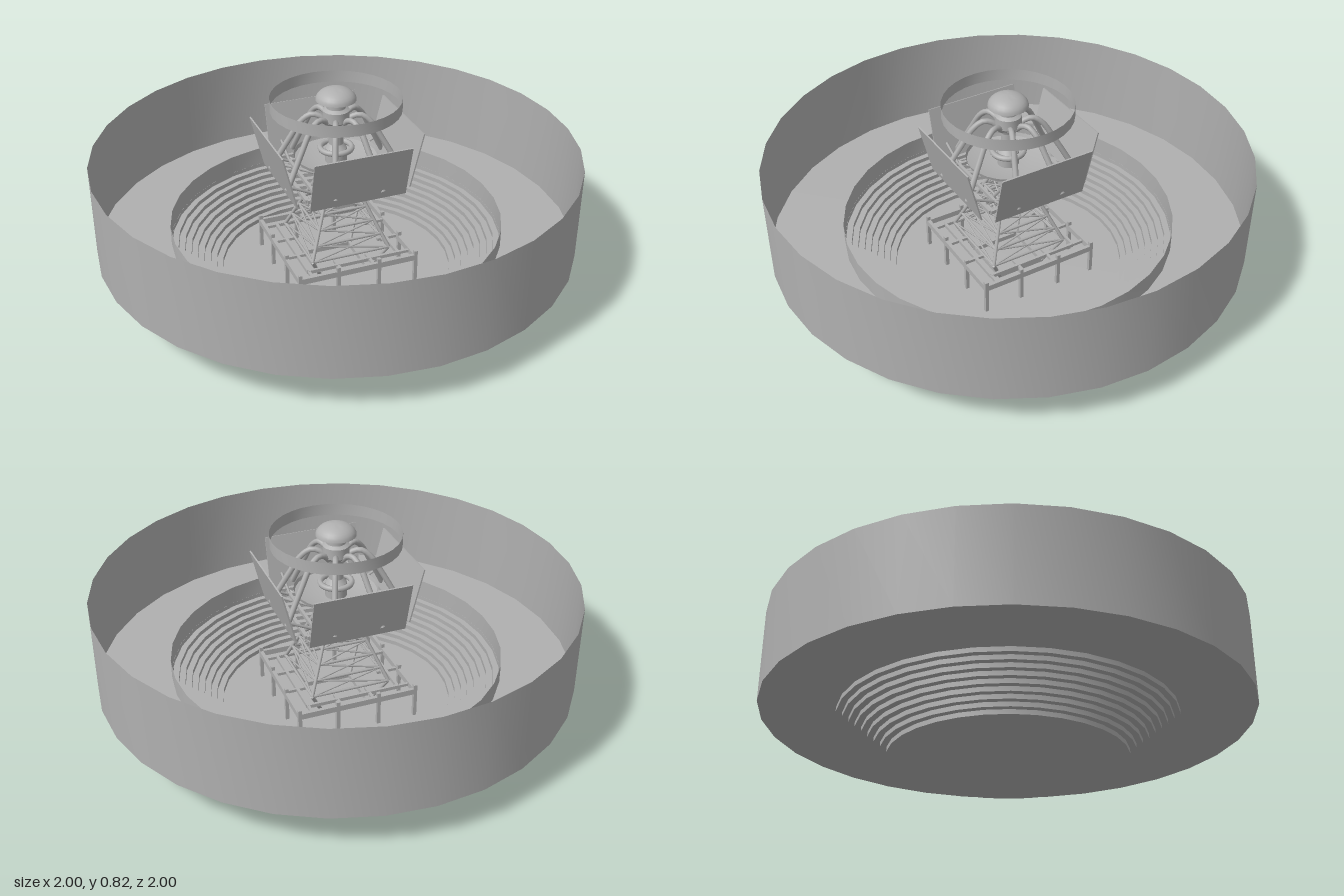
import * as THREE from 'three';
import { toCreasedNormals } from 'three/addons/utils/BufferGeometryUtils.js';

export function createModel() {
  const model = new THREE.Group();
  const grey = new THREE.MeshStandardMaterial({ color: 0xb0b0b0, side: THREE.DoubleSide });
  grey.name = 'plain grey';

  const add = (name, geo, parent = model) => {
    const mesh = new THREE.Mesh(geo, grey);
    mesh.name = name;
    parent.add(mesh);
    return mesh;
  };
  const lathe = (name, pts, sides = 32) => add(name, toCreasedNormals(
    new THREE.LatheGeometry(pts.map(p => new THREE.Vector2(p[0], p[1])), sides), 0.5));
  const box = (name, w, h, d, x, y, z, parent) => {
    const mesh = add(name, new THREE.BoxGeometry(w, h, d), parent);
    mesh.position.set(x, y, z);
    return mesh;
  };
  // Straight strut between two points
  const strut = (name, a, b, r, parent) => {
    const p = new THREE.Vector3(...a), q = new THREE.Vector3(...b);
    const dir = q.clone().sub(p);
    const mesh = add(name, new THREE.CylinderGeometry(r, r, dir.length(), 6), parent);
    mesh.position.copy(p).add(q).multiplyScalar(0.5);
    mesh.quaternion.setFromUnitVectors(new THREE.Vector3(0, 1, 0), dir.normalize());
  };

  // Basin: stepped pit, flat ledge and thin outer wall
  const steps = 9, ledge = 0.17;
  const profile = [[0, 0]];
  for (let i = 0; i < steps; i++) {
    const r = 0.488 + i * 0.0258;
    profile.push([r, i * ledge / steps], [r, (i + 1) * ledge / steps]);
  }
  profile.push([1, ledge], [1, 0.557]);
  lathe('basin', profile);
  lathe('pitKerb', [[0.695, ledge], [0.695, 0.25]]);

  // Parts repeated on the four sides
  for (let k = 0; k < 4; k++) {
    const side = new THREE.Group();
    side.name = 'towerSide';
    side.rotation.y = k * Math.PI / 2;
    model.add(side);

    // Tilted shield panel
    const panel = box('shieldPanel', 0.41, 0.235, 0.006, 0, 0.544, 0.271, side);
    panel.rotation.x = Math.atan2(0.057, 0.228);

    // Base frame with posts
    box('footFrame', 0.22, 0.02, 0.012, 0, 0.013, 0.104, side);
    box('baseRail', 0.52, 0.025, 0.015, 0, 0.12, 0.255, side);
    box('innerRail', 0.4, 0.015, 0.012, 0, 0.12, 0.2, side);
    for (const x of [-0.255, -0.09, 0.09]) {
      box('basePost', 0.015, 0.15, 0.015, x, 0.075, 0.255, side);
      box('baseTie', 0.012, 0.012, 0.1, x * 0.78, 0.12, 0.21, side);
    }

    // Tapering lattice tower
    const half = t => 0.17 - 0.12 * t;
    const height = t => 0.14 + 0.29 * t;
    strut('towerLeg', [0.17, 0.14, 0.17], [0.05, 0.43, 0.05], 0.008, side);
    strut('towerFoot', [0.105, 0.01, 0.105], [0.17, 0.14, 0.17], 0.008, side);
    for (let i = 0; i < 5; i++) {
      const a = half(i / 5), b = half((i + 1) / 5), y = height(i / 5), y2 = height((i + 1) / 5);
      strut('towerBeam', [-a, y, a], [a, y, a], 0.006, side);
      strut('towerBrace', [-a, y, a], [b, y2, b], 0.004, side);
      strut('towerBrace', [a, y, a], [-b, y2, b], 0.004, side);
    }

    // Frame and brackets carrying the panel
    box('deckBeam', 0.4, 0.015, 0.015, 0, 0.45, 0.2, side);
    box('innerDeckBeam', 0.3, 0.015, 0.012, 0, 0.45, 0.15, side);
    for (const x of [-0.15, 0.15]) {
      strut('panelBracket', [x, 0.45, 0.15], [x, 0.5, 0.255], 0.006, side);
      strut('deckArm', [x * 0.3, 0.42, 0.05], [x, 0.45, 0.2], 0.007, side);
    }
  }

  // Central column, dish and hub
  lathe('centralColumn', [[0.045, 0.4], [0.045, 0.56], [0.03, 0.58], [0.03, 0.66]], 16);
  lathe('dish', [[0.03, 0.5], [0.09, 0.5], [0.17, 0.52], [0.175, 0.535]], 24);
  const collar = add('dishCollar', new THREE.TorusGeometry(0.065, 0.012, 8, 24));
  collar.rotation.x = Math.PI / 2;
  collar.position.y = 0.56;
  lathe('hub', [[0, 0.655], [0.035, 0.655], [0.04, 0.67], [0.055, 0.685], [0.055, 0.73],
    [0.04, 0.74], [0.04, 0.785]], 20);

  // Dome cap
  const dome = [[0, 0.775], [0.083, 0.775]];
  for (let i = 1; i <= 8; i++) {
    const a = i / 8 * Math.PI / 2;
    dome.push([0.083 * Math.cos(a), 0.775 + 0.05 * Math.sin(a)]);
  }
  lathe('domeCap', dome, 24);

  // Top ring
  lathe('topRing', [[0.268, 0.735], [0.268, 0.785]], 32);

  // Eight arched legs around the hub
  const arch = new THREE.CatmullRomCurve3([[0.04, 0.675], [0.065, 0.7], [0.1, 0.708],
    [0.14, 0.68], [0.19, 0.6], [0.27, 0.46]].map(p => new THREE.Vector3(p[0], p[1], 0)));
  const archGeo = new THREE.TubeGeometry(arch, 20, 0.012, 8);
  for (let k = 0; k < 8; k++) {
    add('archedLeg', archGeo).rotation.y = (k + 0.5) * Math.PI / 4;
  }
  return model;
}
